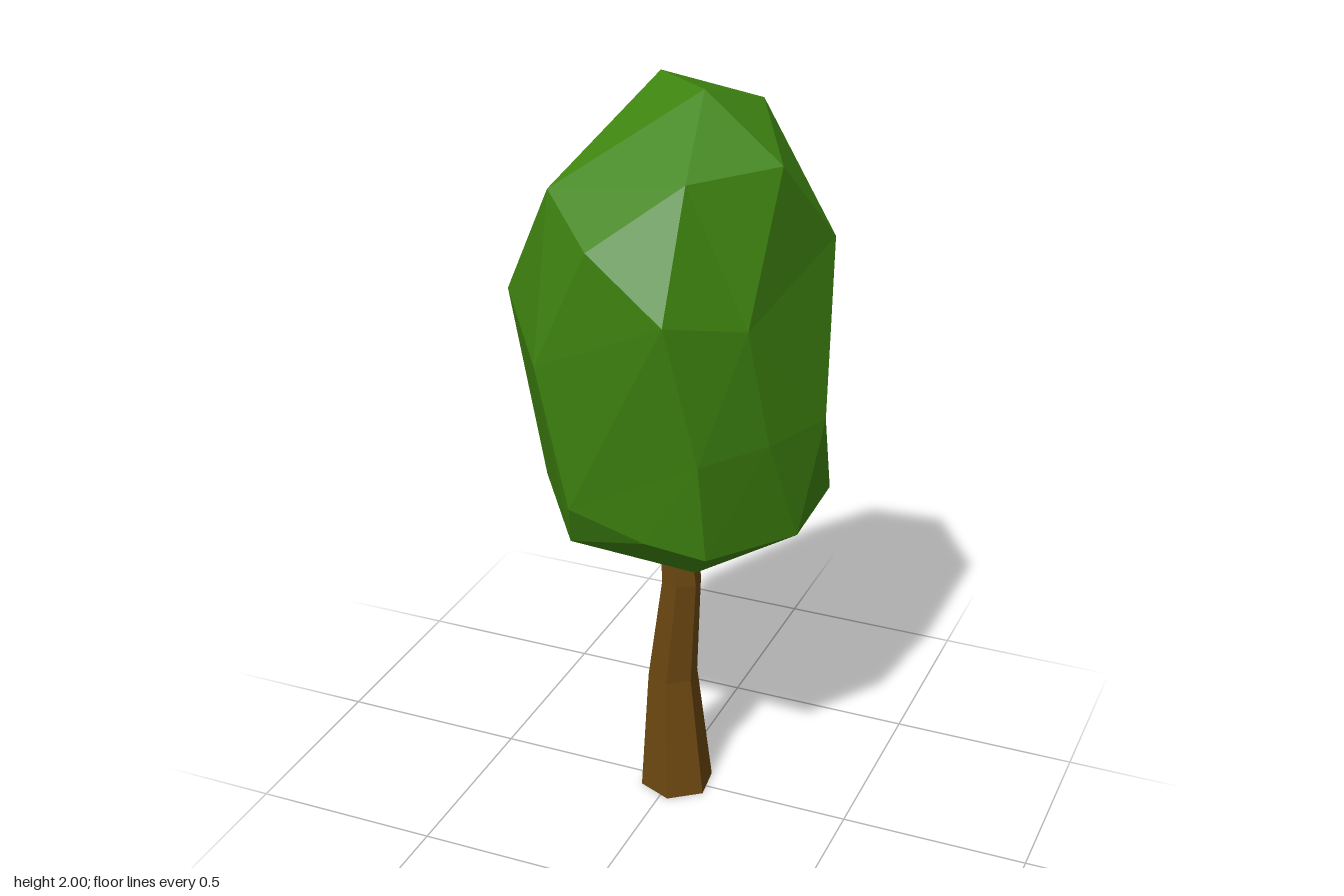
import * as THREE from 'three';
import { ConvexGeometry } from 'three/addons/geometries/ConvexGeometry.js';

const mat = (color) => new THREE.MeshStandardMaterial({ color, flatShading: true, roughness: 1 });

// Six-sided trunk lofted through bent, tapering rings [y, centre x, centre z, radius]
function trunkGeometry() {
  const rings = [
    [0, 0.012, -0.003, 0.1],
    [0.34, -0.004, -0.012, 0.068],
    [0.64, 0.025, -0.002, 0.053],
    [0.85, 0.008, -0.002, 0.045],
  ];
  const sides = 6, pos = [], index = [];
  for (const [y, cx, cz, r] of rings)
    for (let i = 0; i < sides; i++) {
      const a = 0.4 + (i / sides) * Math.PI * 2;
      pos.push(cx + r * Math.cos(a), y, cz + r * Math.sin(a));
    }
  for (let k = 0; k < rings.length - 1; k++)
    for (let i = 0; i < sides; i++) {
      const a = k * sides + i, b = k * sides + (i + 1) % sides;
      index.push(a, a + sides, b, b, a + sides, b + sides);
    }
  // end caps
  const top = (rings.length - 1) * sides;
  for (let i = 1; i < sides - 1; i++) {
    index.push(0, i, i + 1);
    index.push(top, top + i + 1, top + i);
  }
  const g = new THREE.BufferGeometry();
  g.setAttribute('position', new THREE.Float32BufferAttribute(pos, 3));
  g.setIndex(index);
  const flat = g.toNonIndexed();
  flat.computeVertexNormals();
  return flat;
}

// Crown corners, from the tip down
const crownPoints = [
  [0.11, 2.0, 0.07], [-0.06, 1.99, -0.07], [0.18, 1.93, -0.14],
  [0.31, 1.84, 0.075], [0.14, 1.83, 0.26], [-0.23, 1.76, 0.22],
  [0.0, 1.71, -0.25], [0.195, 1.63, -0.29], [-0.07, 1.67, 0.36],
  [0.37, 1.6, -0.15], [0.14, 1.53, 0.4], [-0.39, 1.45, 0.13],
  [-0.185, 1.45, -0.315], [0.28, 1.47, 0.21], [-0.23, 1.34, 0.32],
  [-0.02, 1.37, -0.31], [0.28, 1.24, -0.28], [0.385, 1.14, -0.075],
  [0.2, 1.15, 0.325], [0.315, 1.15, 0.145], [-0.16, 0.95, 0.29],
  [-0.375, 0.86, -0.03], [-0.2, 0.88, -0.25], [0.12, 0.83, -0.405],
  [0.34, 0.85, -0.265], [0.35, 0.85, 0.02], [0.2, 0.87, 0.27],
  [0.04, 0.89, 0.28], [-0.19, 0.82, 0.22], [0.13, 0.74, -0.15],
  [-0.1, 0.75, 0.05], [0.13, 0.765, 0.16],
].map((p) => new THREE.Vector3(...p));

// Join the corners as on a near-sphere, then put each back, so shallow hollows survive
function crownGeometry() {
  const round = crownPoints.map((p) => {
    const v = new THREE.Vector3(p.x / 0.38, (p.y - 1.35) / 0.63, p.z / 0.38);
    return v.multiplyScalar(Math.pow(v.length(), -0.75));
  });
  const g = new ConvexGeometry(round);
  const pos = g.attributes.position, v = new THREE.Vector3();
  for (let i = 0; i < pos.count; i++) {
    v.fromBufferAttribute(pos, i);
    let best = 0;
    round.forEach((r, k) => {
      if (r.distanceToSquared(v) < round[best].distanceToSquared(v)) best = k;
    });
    pos.setXYZ(i, ...crownPoints[best].toArray());
  }
  g.computeVertexNormals();
  return g;
}

export function createModel() {
  const tree = new THREE.Group();
  tree.name = 'tree';
  const trunk = new THREE.Mesh(trunkGeometry(), mat(0x6b4710));
  trunk.name = 'trunk';
  const crown = new THREE.Mesh(crownGeometry(), mat(0x3f8510));
  crown.name = 'leafCrown';
  tree.add(trunk, crown);
  return tree;
}
